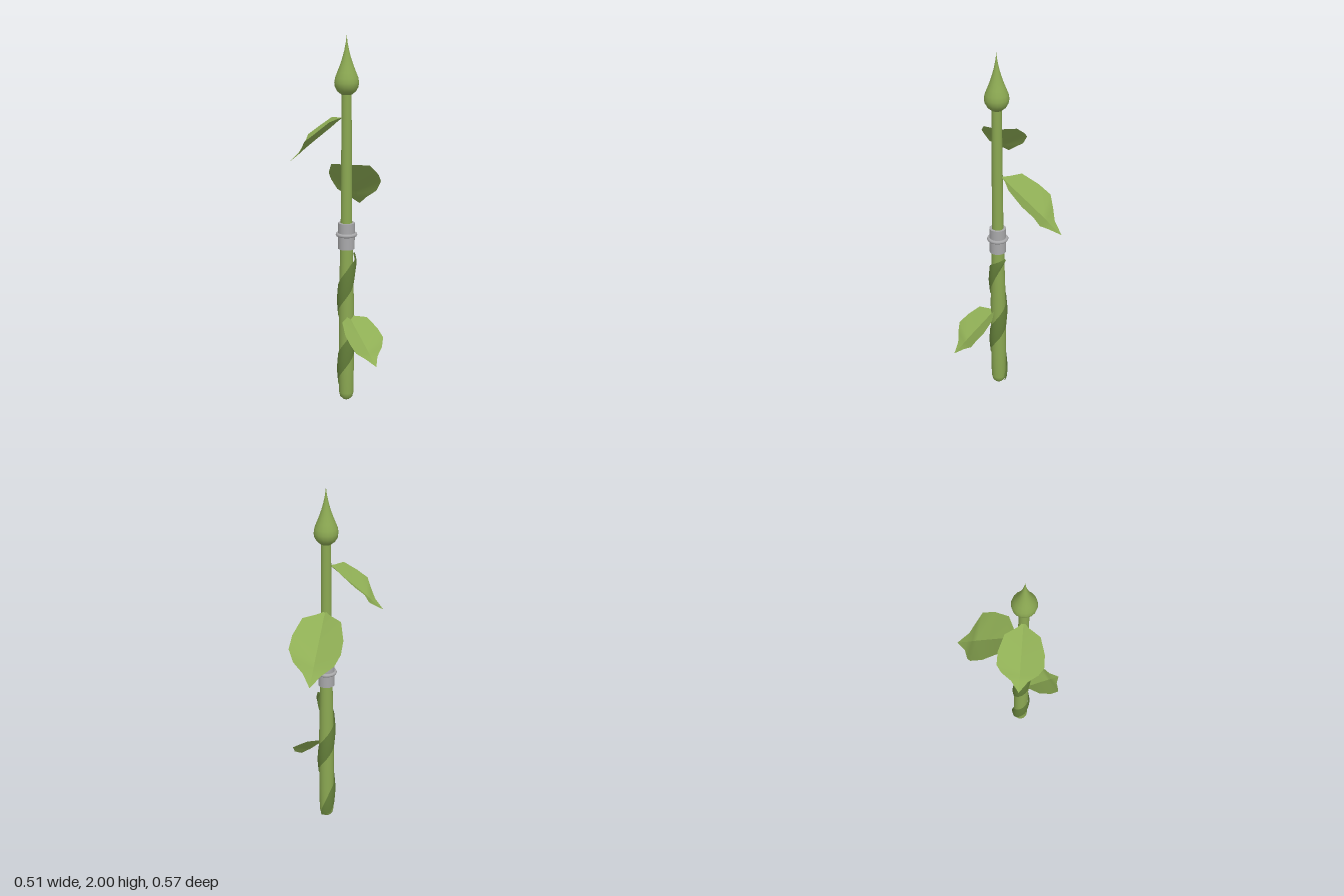
import * as THREE from 'three';

const mat = (name, color, side = THREE.FrontSide) => {
  const m = new THREE.MeshStandardMaterial({ color, side });
  m.name = name;
  return m;
};

const surface = (positions, index) => {
  const g = new THREE.BufferGeometry();
  g.setAttribute('position', new THREE.Float32BufferAttribute(positions, 3));
  g.setIndex(index);
  g.computeVertexNormals();
  return g;
};

const lathe = (points, sides) =>
  new THREE.LatheGeometry(points.map(([r, y]) => new THREE.Vector2(r, y)), sides);

// Leaf cross-sections: distance from stem, half width, edge height, midrib height
const LEAF = [
  [0.025, 0.004, 0, 0],
  [0.055, 0.035, -0.005, -0.025],
  [0.10, 0.105, -0.015, -0.065],
  [0.185, 0.138, -0.08, -0.135],
  [0.25, 0.14, -0.13, -0.19],
  [0.275, 0.11, -0.19, -0.212],
  [0.305, 0.05, -0.235, -0.24],
  [0.36, 0, -0.285, -0.285],
];

// One half of a leaf, folded along the midrib
function leafHalf(side) {
  const pos = [], idx = [];
  LEAF.forEach(([u, w, edgeY, midY], i) => {
    pos.push(0, midY, u, side * w, edgeY, u);
    if (i === LEAF.length - 1) return;
    const m = 2 * i, e = m + 1, m2 = m + 2, e2 = m + 3;
    if (side > 0) idx.push(m, m2, e, e, m2, e2);
    else idx.push(m, e, m2, e, e2, m2);
  });
  return surface(pos, idx);
}

// Broad ribbon that winds twice around the lower stem
function vineGeometry() {
  const pos = [], idx = [], n = 72, turns = 2, start = -0.575 * Math.PI * 2;
  for (let i = 0; i <= n; i++) {
    const t = i / n;
    const a = start + t * turns * Math.PI * 2;
    const half = 0.075 * Math.min(1, 0.25 + t * 8, 0.12 + (1 - t) * 6);
    const curl = 0.012 * Math.max(0, (t - 0.92) / 0.08);
    const y = 0.045 + t * 0.79;
    for (const k of [-1, 0, 1]) {
      const r = (k ? 0.046 : 0.052) + curl;
      pos.push(Math.sin(a) * r, Math.max(0.02, y + k * half), Math.cos(a) * r);
    }
    if (i === n) continue;
    for (let k = 0; k < 2; k++) {
      const p = i * 3 + k, q = p + 3;
      idx.push(p, q, p + 1, p + 1, q, q + 1);
    }
  }
  return surface(pos, idx);
}

export function createModel() {
  const model = new THREE.Group();
  const stemGreen = mat('stem green', 0x8ba852);
  const leafGreen = mat('leaf green', 0x8fae55, THREE.DoubleSide);
  const vineGreen = mat('vine green', 0x647f3a, THREE.DoubleSide);
  const silver = mat('silver', 0xa9a9ab);

  const plant = new THREE.Group();
  plant.name = 'stemAssembly';
  plant.position.set(0.042, 0, 0.077);
  model.add(plant);

  const add = (name, geometry, material, y = 0, parent = plant) => {
    const mesh = new THREE.Mesh(geometry, material);
    mesh.name = name;
    mesh.position.y = y;
    parent.add(mesh);
    return mesh;
  };

  // Rounded handle and tapering upper stem
  add('handle', lathe([
    [0, 0.005], [0.02, 0.01], [0.034, 0.025], [0.04, 0.05], [0.042, 0.2],
    [0.042, 0.55], [0.037, 0.75], [0.034, 0.9],
  ], 16), stemGreen);
  add('upperStem', new THREE.CylinderGeometry(0.026, 0.032, 0.82, 16), stemGreen, 1.31);

  // Pointed bud
  add('bud', lathe([
    [0, 1.69], [0.028, 1.695], [0.049, 1.712], [0.062, 1.735], [0.065, 1.757],
    [0.061, 1.782], [0.049, 1.812], [0.036, 1.845], [0.024, 1.88],
    [0.013, 1.92], [0.005, 1.96], [0, 2],
  ], 16), stemGreen);

  // Metal collar with a raised ring
  add('collarLower', new THREE.CylinderGeometry(0.045, 0.045, 0.075, 16), silver, 0.907);
  add('collarUpper', new THREE.CylinderGeometry(0.045, 0.045, 0.07, 16), silver, 0.977);
  const ring = add('collarRing', new THREE.TorusGeometry(0.048, 0.01, 8, 24), silver, 0.948);
  ring.rotation.x = Math.PI / 2;

  add('vine', vineGeometry(), vineGreen);

  // Three drooping leaves: angle, height, scale
  [['backLeaf', Math.PI, 1.32, 1], ['rightLeaf', -1.42, 1.575, 0.845], ['frontLeaf', 0.82, 0.5, 0.765]]
    .forEach(([name, angle, y, scale]) => {
      const leaf = new THREE.Group();
      leaf.name = name;
      leaf.position.y = y;
      leaf.rotation.y = angle;
      leaf.scale.setScalar(scale);
      add('leafLeftHalf', leafHalf(1), leafGreen, 0, leaf);
      add('leafRightHalf', leafHalf(-1), leafGreen, 0, leaf);
      plant.add(leaf);
    });

  return model;
}
